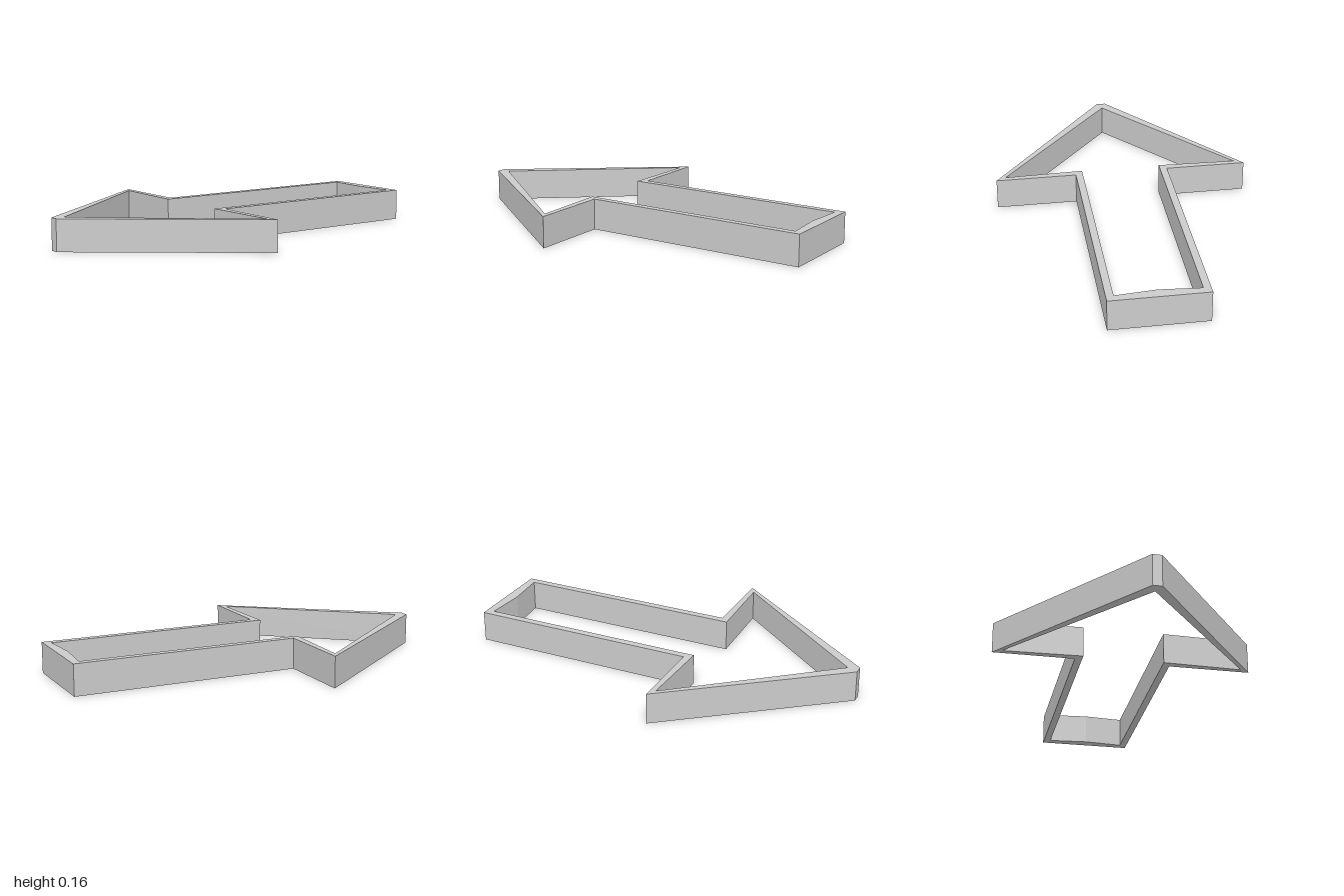
import * as THREE from 'three';

const HEIGHT = 0.16;

// Closes a half outline (z >= 0) by mirroring it across the arrow's axis (clockwise).
function mirrored(half) {
  const other = half.filter(([, z]) => z > 0).map(([x, z]) => [x, -z]).reverse();
  return [...half, ...other].map(([x, z]) => new THREE.Vector2(x, z));
}

export function createModel() {
  const group = new THREE.Group();
  group.name = 'arrowCutter';

  // Outer outline: blunt tip, barb, notch, tail corner
  const outer = mirrored([[-1, 0.023], [-0.172, 0.66], [-0.172, 0.243], [1, 0.243]]);

  // Inner outline: sharp tip, barb, notch, tail corner, slightly bowed tail wall
  const inner = mirrored([[-0.945, 0], [-0.2, 0.611], [-0.212, 0.206], [0.96, 0.206], [0.943, 0]]);

  // Open-ended wall between both outlines, laid flat on the ground;
  // the outer runs counter-clockwise and the hole clockwise so all faces point outwards
  const shape = new THREE.Shape(outer.reverse());
  shape.holes.push(new THREE.Path(inner));
  const geometry = new THREE.ExtrudeGeometry(shape, { depth: HEIGHT, bevelEnabled: false });
  geometry.rotateX(-Math.PI / 2);

  const wall = new THREE.Mesh(
    geometry,
    new THREE.MeshStandardMaterial({ color: 0xcccccc, flatShading: true })
  );
  wall.name = 'arrowWall';
  group.add(wall);
  return group;
}
